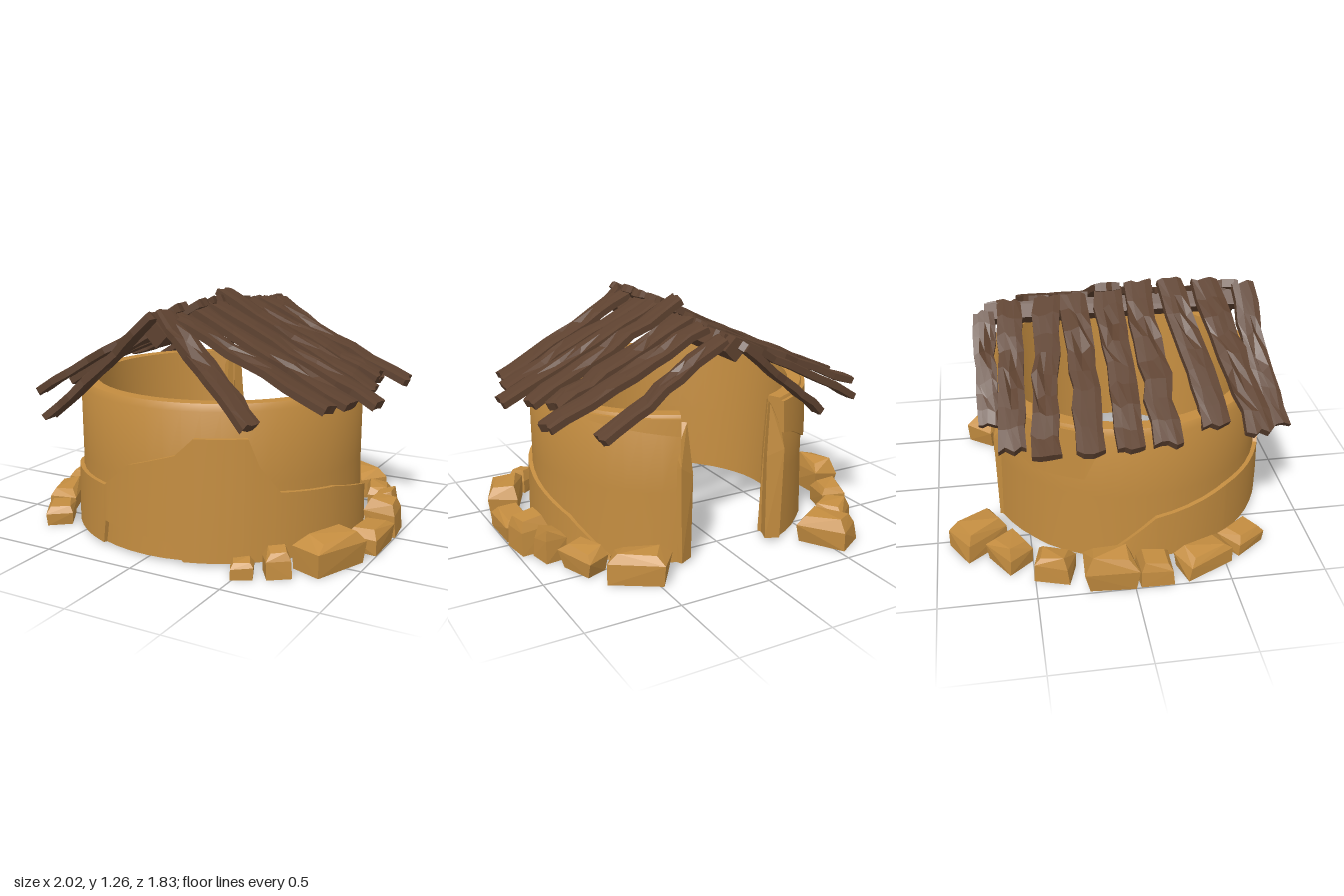
import * as THREE from 'three';
import { toCreasedNormals } from 'three/addons/utils/BufferGeometryUtils.js';
import { ConvexGeometry } from 'three/addons/geometries/ConvexGeometry.js';

const clay = new THREE.MeshStandardMaterial({ color: 0xc48d40 });
clay.name = 'ochre clay';
const wood = new THREE.MeshStandardMaterial({ color: 0x5e4230 });
wood.name = 'dark wood';

// Repeatable noise in -1..1
const noise = (a, b = 0, c = 0) => {
  const s = Math.sin(a * 127.1 + b * 311.7 + c * 74.7) * 43758.5453;
  return (s - Math.floor(s)) * 2 - 1;
};

function add(group, name, geometry, material) {
  const mesh = new THREE.Mesh(geometry, material);
  mesh.name = name;
  group.add(mesh);
  return mesh;
}

// Joins cross-sections of [radius, y] points swept around the hut
function sweep(stations, crease) {
  const rings = stations.map(([deg, pts]) => {
    const t = THREE.MathUtils.degToRad(deg);
    return pts.map(([r, y]) => [r * Math.sin(t), y, 0.07 + r * Math.cos(t)]);
  });
  const pos = [];
  const tri = (...p) => p.forEach((v) => pos.push(...v));
  const n = rings[0].length;
  for (let i = 0; i < rings.length - 1; i++) {
    const a = rings[i], b = rings[i + 1];
    for (let j = 0; j < n; j++) {
      const k = (j + 1) % n;
      tri(a[j], b[j], b[k]);
      tri(a[j], b[k], a[k]);
    }
  }
  const first = rings[0], last = rings[rings.length - 1];
  for (let j = 1; j < n - 1; j++) {
    tri(first[0], first[j], first[j + 1]);
    tri(last[0], last[j + 1], last[j]);
  }
  const g = new THREE.BufferGeometry();
  g.setAttribute('position', new THREE.Float32BufferAttribute(pos, 3));
  return toCreasedNormals(g, crease);
}

// Straight-line lookup in rows of [angle, value]
function lookup(rows, a) {
  for (let i = 1; i < rows.length; i++) {
    const [a0, v0] = rows[i - 1], [a1, v1] = rows[i];
    if (a <= a1) return v0 + ((v1 - v0) * (a - a0)) / (a1 - a0);
  }
  return rows[rows.length - 1][1];
}

// Raised plaster between two edge lines
function plaster(lower, upper, proud) {
  const cuts = new Set([...lower, ...upper].map((p) => p[0]));
  const start = upper[0][0], end = upper[upper.length - 1][0];
  for (let a = Math.ceil(start / 6) * 6; a < end; a += 6) cuts.add(a);
  const angles = [...cuts].filter((a) => a >= start && a <= end).sort((p, q) => p - q);
  return sweep(angles.map((a) => {
    const y0 = lookup(lower, a), y1 = Math.max(lookup(upper, a), y0 + 0.005);
    return [a, [[proud, y0], [proud - 0.006, y1], [0.74, y1], [0.74, y0]]];
  }), 0.4);
}

// Uneven board running from ridge to eave, with split grain on its faces
function plankGeometry(from, to, width, thick, seed) {
  const a = new THREE.Vector3(...from), b = new THREE.Vector3(...to);
  const length = a.distanceTo(b);
  const box = new THREE.BoxGeometry(length, thick, width, 8, 1, 4);
  const p = box.attributes.position;
  for (let i = 0; i < p.count; i++) {
    let x = p.getX(i), y = p.getY(i), z = p.getZ(i);
    const s = Math.round((x / length + 0.5) * 8), row = Math.round((z / width + 0.5) * 4);
    const edge = row === 0 || row === 4, end = s === 0 || s === 8;
    const split = 2 + Math.floor((noise(seed, 5) + 1) * 2);
    if (!edge && !end && (s === split || s === split + 1) && row === 1 + (s + seed) % 3) y *= 0.1;
    y += noise(s, seed, 2) * 0.007 + (edge ? -Math.sign(y) * 0.005 : 0);
    z += noise(s, seed, 3) * 0.009 + (edge ? noise(s, row, seed) * 0.009 : noise(s, row, seed) * 0.008);
    x += end ? noise(row, s, seed) * 0.016 : noise(row, s, seed) * 0.025;
    p.setXYZ(i, x, y, z);
  }
  const X = b.clone().sub(a).normalize();
  const Z = X.clone().cross(new THREE.Vector3(0, 1, 0)).normalize();
  const m = new THREE.Matrix4().makeBasis(X, Z.clone().cross(X), Z);
  m.setPosition(a.add(b).multiplyScalar(0.5));
  const flat = box.applyMatrix4(m).toNonIndexed();
  flat.computeVertexNormals();
  return flat;
}

// Chipped block with a narrowed top
function stoneGeometry(w, h, d, seed) {
  const pts = [];
  [[0, 0.94], [0.68, 1], [1, 0.68]].forEach(([level, size], l) => {
    [[-1, -1], [1, -1], [1, 1], [-1, 1]].forEach(([sx, sz], c) => {
      const q = size * (1 - 0.09 * (noise(l, c, seed) + 1));
      pts.push(new THREE.Vector3(sx * q * w / 2, h * level * (l ? 1 + 0.1 * (noise(c, seed, l) - 1) : 1),
        sz * q * d / 2 * (1 + 0.07 * noise(seed, c, l))));
    });
  });
  return new ConvexGeometry(pts);
}

export function createModel() {
  const model = new THREE.Group();
  model.name = 'hut';

  // Round wall, open at the back
  const wall = new THREE.Group();
  wall.name = 'wall';
  model.add(wall);
  const stations = [];
  for (let i = 0; i <= 44; i++) {
    const a = -157 + (314 * i) / 44, w = 0.006 * noise(Math.floor(i / 4), 7);
    stations.push([a, [[0.775 + w, 0.015], [0.77, 0.4], [0.772, 0.77], [0.755, 0.805], [0.685, 0.805], [0.66, 0.4], [0.645 + w, 0.015]]]);
  }
  add(wall, 'roundWall', sweep(stations, 0.5), clay);

  // Thick lower plaster with a broken upper edge and a notch at the front
  add(wall, 'lowerPlaster', plaster(
    [[-106, 0.015], [-21, 0.015], [-19.5, 0.14], [10, 0.11], [15, 0.015], [130, 0.015]],
    [[-106, 0.02], [-85, 0.27], [-53, 0.33], [-20, 0.33], [-7, 0.47], [12, 0.55], [19, 0.64], [38, 0.64],
      [42, 0.5], [50, 0.36], [75, 0.33], [96, 0.26], [111, 0.2], [130, 0.03]], 0.8), clay);
  add(wall, 'upperPlasterRight', plaster(
    [[-157, 0.62], [-150, 0.6], [-133, 0.5], [-112, 0.51], [-105, 0.74]], [[-157, 0.79], [-105, 0.79]], 0.787), clay);
  add(wall, 'upperPlasterLeft', plaster([[108, 0.78], [157, 0.7]], [[108, 0.79], [157, 0.79]], 0.787), clay);

  // Rough door jambs
  for (const side of [-1, 1]) {
    const jamb = add(wall, side > 0 ? 'leftJamb' : 'rightJamb', stoneGeometry(0.1, 0.78, 0.16, 3 + side), clay);
    jamb.position.set(side * 0.295, 0.015, -0.575);
    jamb.rotation.y = side * 0.4;
  }

  // Ridge beam set on its corner
  const roof = new THREE.Group();
  roof.name = 'roof';
  model.add(roof);
  const beam = add(roof, 'ridgeBeam', new THREE.BoxGeometry(0.09, 0.09, 1.4), wood);
  beam.position.set(0.005, 1.105, 0.04);
  beam.rotation.z = Math.PI / 4;

  // Boards: ridge x, y, z, eave x, y, z, width
  const boards = [
    [-0.02, 1.12, -0.67, -0.5, 0.73, -0.68, 0.11],
    [0.02, 1.16, -0.53, -0.78, 0.75, -0.57, 0.13],
    [0.01, 1.17, -0.33, -0.9, 0.77, -0.42, 0.13],
    [0.01, 1.18, -0.18, -0.9, 0.78, -0.2, 0.14],
    [0.01, 1.2, 0, -0.9, 0.78, -0.02, 0.14],
    [0.03, 1.22, 0.16, -0.88, 0.78, 0.17, 0.14],
    [0.04, 1.23, 0.34, -0.72, 0.76, 0.45, 0.14],
    [0.01, 1.22, 0.52, -0.78, 0.74, 0.66, 0.15],
    [0, 1.2, 0.73, -0.61, 0.65, 0.79, 0.13],
    [0.03, 1.15, -0.58, 0.69, 0.71, -0.54, 0.13],
    [0.03, 1.17, -0.38, 0.91, 0.76, -0.4, 0.14],
    [0.02, 1.17, -0.19, 0.8, 0.81, -0.21, 0.15],
    [-0.04, 1.24, -0.01, 0.85, 0.78, -0.01, 0.14],
    [0.01, 1.2, 0.17, 0.95, 0.74, 0.17, 0.14],
    [0.01, 1.18, 0.34, 0.86, 0.77, 0.35, 0.14],
    [0.01, 1.18, 0.57, 0.82, 0.78, 0.51, 0.14],
    [0, 1.2, 0.65, 0.54, 0.72, 0.78, 0.13],
  ];
  boards.forEach((b, i) => add(roof, 'roofBoard',
    plankGeometry(b.slice(0, 3), b.slice(3, 6), b[6], 0.045, i + 1), wood));

  // Stones along both sides: x, z, width, height, depth, turn
  const stones = [
    [0.52, 0.82, 0.12, 0.09, 0.11, 0.5], [0.66, 0.72, 0.13, 0.13, 0.13, 0.6], [0.84, 0.5, 0.17, 0.17, 0.32, -0.4],
    [0.92, 0.16, 0.16, 0.13, 0.27, 0], [0.91, -0.07, 0.17, 0.2, 0.18, 0.1], [0.86, -0.24, 0.12, 0.18, 0.14, 0.15],
    [0.75, -0.44, 0.14, 0.14, 0.22, 0.35], [0.55, -0.66, 0.3, 0.16, 0.18, -0.6],
    [-0.53, -0.77, 0.19, 0.16, 0.28, 0.6], [-0.69, -0.61, 0.2, 0.14, 0.17, 0.6], [-0.83, -0.4, 0.15, 0.15, 0.2, -0.3],
    [-0.93, -0.12, 0.15, 0.2, 0.27, -0.05], [-0.92, 0.11, 0.16, 0.14, 0.18, 0], [-0.86, 0.38, 0.15, 0.13, 0.29, 0.45],
    [-0.72, 0.62, 0.15, 0.1, 0.2, 0.6],
  ];
  const base = new THREE.Group();
  base.name = 'baseStones';
  model.add(base);
  stones.forEach(([x, z, w, h, d, turn], i) => {
    const stone = add(base, 'baseStone', stoneGeometry(w * 1.06, h * 1.05, d * 1.06, i + 11), clay);
    stone.position.set(x, 0, z);
    stone.rotation.y = turn;
  });
  return model;
}
